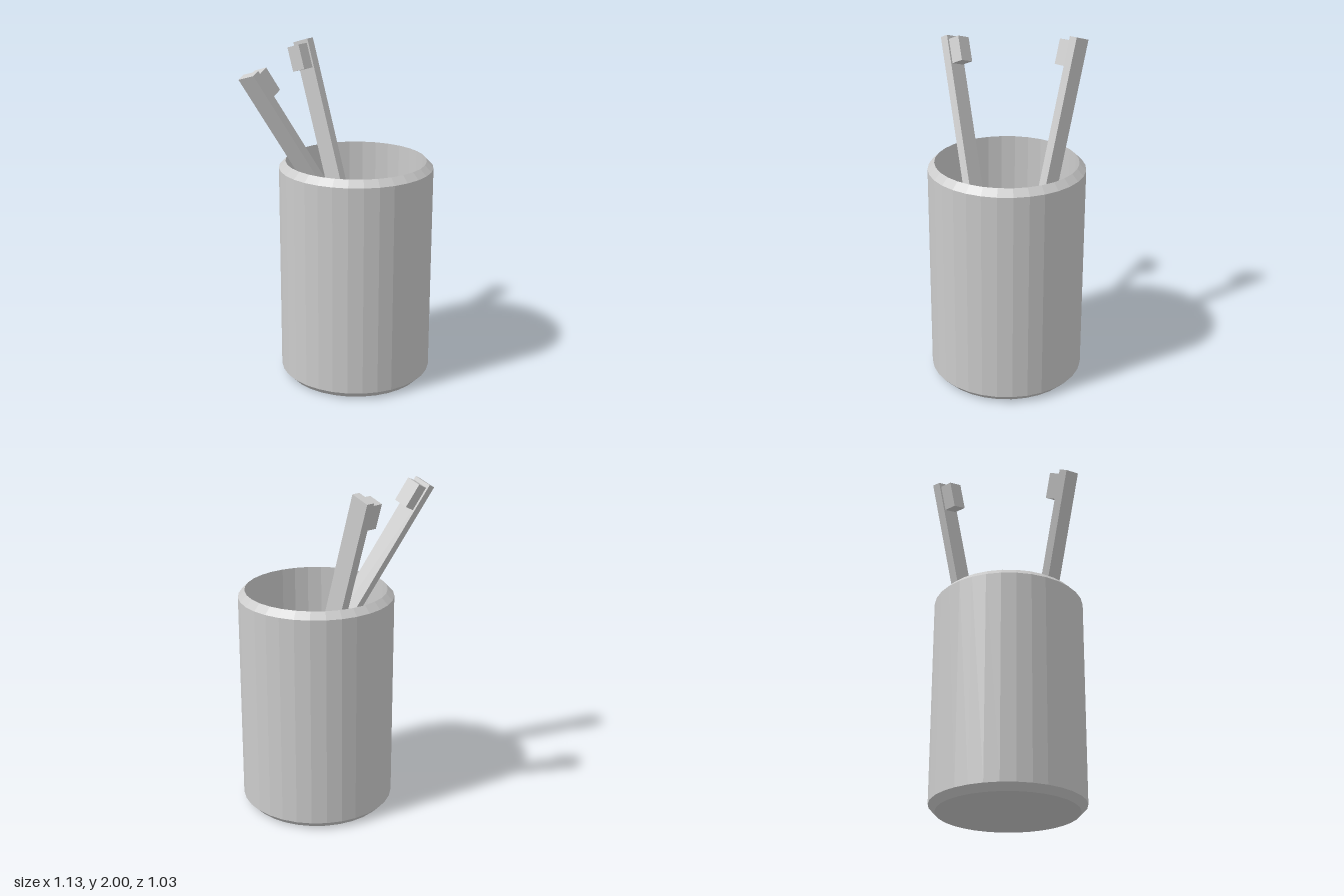
import * as THREE from 'three';

const material = new THREE.MeshStandardMaterial({ color: 0xcccccc, flatShading: true });

// Toothbrush: a plain bar with a bristle block near its top, on the given side (+1 or -1 in x)
function makeBrush(name, side, position, tiltX, tiltZ) {
  const brush = new THREE.Group();
  brush.name = name;

  const handle = new THREE.Mesh(new THREE.BoxGeometry(0.05, 1.465, 0.12), material);
  handle.name = 'handle';

  const bristles = new THREE.Mesh(new THREE.BoxGeometry(0.075, 0.15, 0.095), material);
  bristles.name = 'bristles';
  bristles.position.set(side * 0.0625, 0.633, 0);

  brush.add(handle, bristles);
  brush.position.set(...position);
  brush.rotation.set(THREE.MathUtils.degToRad(tiltX), 0, THREE.MathUtils.degToRad(tiltZ));
  return brush;
}

export function createModel() {
  const model = new THREE.Group();
  model.name = 'toothbrushHolder';

  // Hollow cup with bevelled foot and rim
  const profile = [
    [0, 0], [0.418, 0], [0.457, 0.04], [0.457, 1.305],
    [0.418, 1.345], [0.418, 0.04], [0, 0.04],
  ].map(([r, y]) => new THREE.Vector2(r, y));
  const cup = new THREE.Mesh(new THREE.LatheGeometry(profile, 32), material);
  cup.name = 'cup';
  cup.position.set(0.105, 0, 0.055);
  model.add(cup);

  // Two brushes leaning on the rim
  model.add(
    makeBrush('backBrush', -1, [0.215, 1.284, -0.24], -17.3, 0),
    makeBrush('sideBrush', 1, [-0.228, 1.284, 0.02], -17.3, 25.5),
  );
  return model;
}
